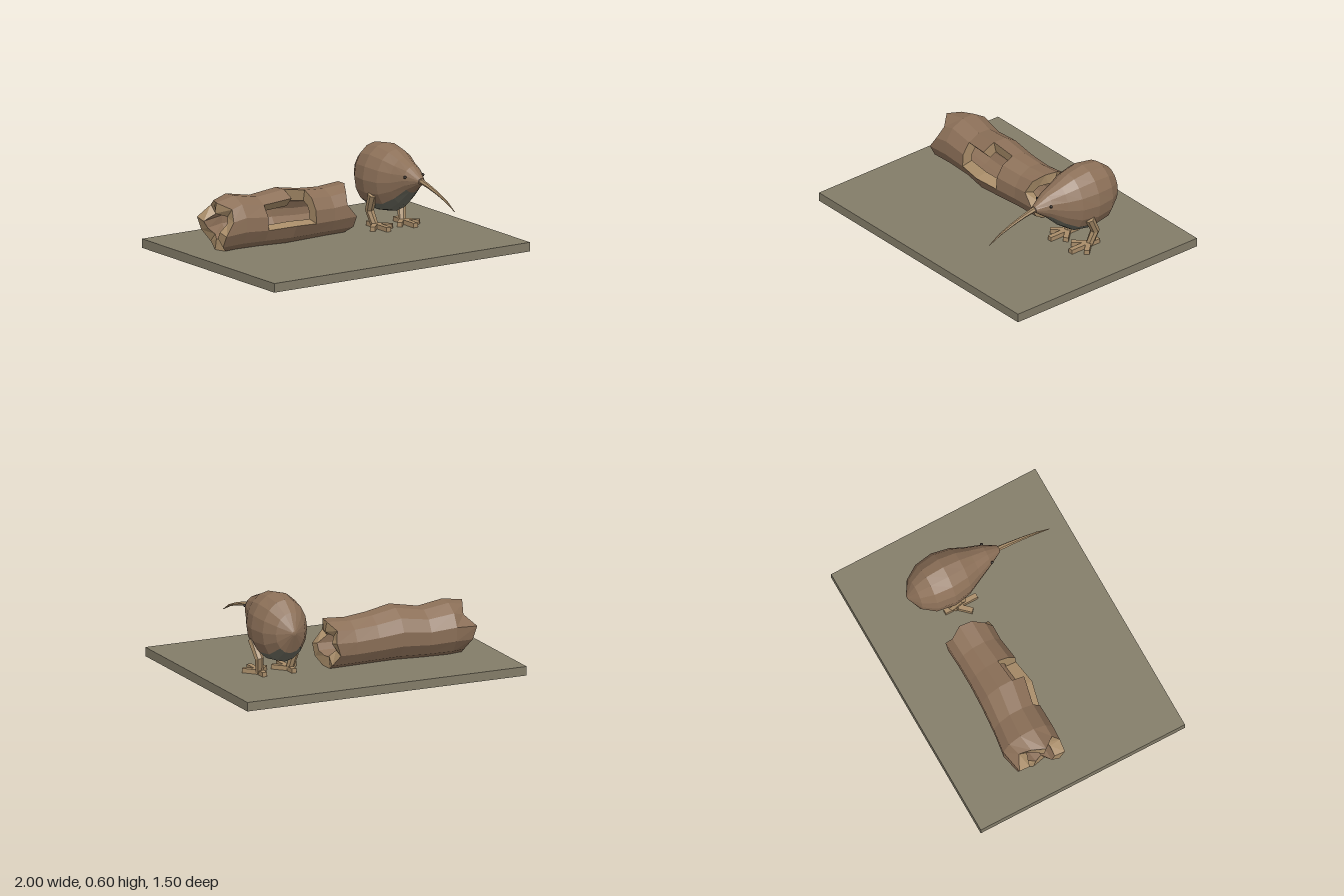
import * as THREE from 'three';

const mat = (name, color) => {
  const m = new THREE.MeshStandardMaterial({ color });
  m.name = name;
  return m;
};

// Flat-shaded mesh from a list of four-cornered faces
function quadMesh(name, quads, material) {
  const pos = [];
  for (const [a, b, c, d] of quads) for (const p of [a, b, c, a, c, d]) pos.push(...p);
  const g = new THREE.BufferGeometry();
  g.setAttribute('position', new THREE.Float32BufferAttribute(pos, 3));
  g.computeVertexNormals();
  const mesh = new THREE.Mesh(g, material);
  mesh.name = name;
  return mesh;
}

// Faceted tube whose radius changes from point to point, closed at both ends
function limb(name, points, radii, sides, material) {
  const pts = points.map(p => new THREE.Vector3(...p));
  const rings = pts.map((p, i) => {
    const t = pts[Math.min(i + 1, pts.length - 1)].clone().sub(pts[Math.max(i - 1, 0)]).normalize();
    const u = new THREE.Vector3(1, 0, 0).addScaledVector(t, -t.x).normalize();
    const v = t.clone().cross(u);
    return Array.from({ length: sides }, (_, j) => {
      const a = (j / sides) * Math.PI * 2;
      return p.clone().addScaledVector(u, Math.cos(a) * radii[i]).addScaledVector(v, Math.sin(a) * radii[i]).toArray();
    });
  });
  const quads = [];
  const last = pts.length - 1;
  for (let j = 0; j < sides; j++) {
    const k = (j + 1) % sides;
    for (let i = 0; i < last; i++) quads.push([rings[i][j], rings[i][k], rings[i + 1][k], rings[i + 1][j]]);
    quads.push([points[0], rings[0][k], rings[0][j], points[0]]);
    quads.push([points[last], rings[last][j], rings[last][k], points[last]]);
  }
  return quadMesh(name, quads, material);
}

// Hollow log with ragged ends and a stepped hole in its front
function makeLog(bark, wood) {
  const log = new THREE.Group();
  log.name = 'hollowLog';
  const N = 12;
  // x, centre z, radius z, radius y
  const stations = [
    [-0.8, -0.205, 0.168, 0.165], [-0.67, -0.22, 0.185, 0.178], [-0.5, -0.208, 0.172, 0.163],
    [-0.31, -0.18, 0.187, 0.178], [-0.14, -0.188, 0.17, 0.163], [0.02, -0.198, 0.16, 0.156], [0.16, -0.202, 0.164, 0.162]];
  const last = stations.length - 1;
  const leftEnd = [-0.83, -0.77, -0.75, -0.82, -0.78, -0.75, -0.83, -0.8, -0.76, -0.78, -0.76, -0.83];
  const rightEnd = [0.19, 0.12, 0.14, 0.18, 0.19, 0.15, 0.17, 0.14, 0.18, 0.16, 0.17, 0.19];
  const point = (i, j, s) => {
    const [x, cz, rz, ry] = stations[i];
    const n = (j + N) % N;
    const a = THREE.MathUtils.degToRad(-12 + n * 30);
    const px = i === 0 ? leftEnd[n] : i === last ? rightEnd[n] : x;
    return [px, 0.058 + ry + Math.sin(a) * ry * s, cz + Math.cos(a) * rz * s];
  };
  const out = (i, j) => point(i, j, 1.02);
  const inn = (i, j) => point(i, j, 0.56);
  const removed = (i, j) => (i === 2 && (j === 0 || j === 1)) || (i === 3 && j >= 0 && j <= 2);
  const outer = [], inner = [], cut = [];
  for (let j = 0; j < N; j++) {
    for (let i = 0; i < last; i++) {
      if (!removed(i, j)) {
        outer.push([out(i, j), out(i + 1, j), out(i + 1, j + 1), out(i, j + 1)]);
        inner.push([inn(i, j + 1), inn(i + 1, j + 1), inn(i + 1, j), inn(i, j)]);
        continue;
      }
      // Walls around the hole
      if (!removed(i, j - 1)) cut.push([inn(i, j), out(i, j), out(i + 1, j), inn(i + 1, j)]);
      if (!removed(i, j + 1)) cut.push([inn(i + 1, j + 1), out(i + 1, j + 1), out(i, j + 1), inn(i, j + 1)]);
      if (!removed(i - 1, j)) cut.push([out(i, j), inn(i, j), inn(i, j + 1), out(i, j + 1)]);
      if (!removed(i + 1, j)) cut.push([out(i + 1, j + 1), inn(i + 1, j + 1), inn(i + 1, j), out(i + 1, j)]);
    }
    // Ragged end faces
    cut.push([out(0, j), out(0, j + 1), inn(0, j + 1), inn(0, j)]);
    cut.push([inn(last, j), inn(last, j + 1), out(last, j + 1), out(last, j)]);
  }
  log.add(quadMesh('logBark', outer, bark), quadMesh('logInside', inner, bark), quadMesh('logCutWood', cut, wood));
  return log;
}

// Egg-shaped body that narrows into the head
function makeBody(feather, belly) {
  const body = new THREE.Group();
  body.name = 'body';
  const N = 16;
  // z, bottom y, top y, half width
  const stations = [
    [-0.455, 0.375, 0.405, 0.015], [-0.4, 0.245, 0.515, 0.105], [-0.315, 0.168, 0.583, 0.16], [-0.19, 0.152, 0.603, 0.18],
    [-0.07, 0.172, 0.582, 0.157], [0.02, 0.235, 0.543, 0.115], [0.12, 0.33, 0.505, 0.075], [0.215, 0.403, 0.442, 0.025]];
  const point = (i, j) => {
    const [z, lo, hi, w] = stations[i];
    const a = (j / N) * Math.PI * 2;
    return [Math.cos(a) * w, (lo + hi) / 2 + Math.sin(a) * (hi - lo) / 2, z];
  };
  const top = [], under = [];
  const last = stations.length - 1;
  for (let j = 0; j < N; j++) {
    for (let i = 0; i < last; i++) {
      const isBelly = j >= 10 && j <= 13 && i >= 1 && i <= 5;
      (isBelly ? under : top).push([point(i, j), point(i, j + 1), point(i + 1, j + 1), point(i + 1, j)]);
    }
    const tail = [0, 0.39, -0.457], face = [0, 0.423, 0.222];
    top.push([tail, point(0, j + 1), point(0, j), tail], [face, point(last, j), point(last, j + 1), face]);
  }
  body.add(quadMesh('feathers', top, feather), quadMesh('belly', under, belly));
  return body;
}

export function createModel() {
  const ground = mat('mossy ground', 0x837c68);
  const brown = mat('brown', 0x8c7058);
  const tan = mat('tan', 0xa98d69);
  const grey = mat('grey belly', 0x69695d);
  const dark = mat('dark eye', 0x2a211b);
  const model = new THREE.Group();
  model.name = 'birdAndLog';

  const base = new THREE.Mesh(new THREE.BoxGeometry(2, 0.06, 1.5), ground);
  base.name = 'base';
  base.position.y = 0.03;
  model.add(base, makeLog(brown, tan));

  const bird = new THREE.Group();
  bird.name = 'bird';
  bird.position.x = 0.52;
  bird.add(makeBody(brown, grey));
  // Long curved beak
  bird.add(limb('beak',
    [[0, 0.425, 0.2], [0, 0.405, 0.3], [0, 0.378, 0.4], [0, 0.343, 0.5], [0, 0.296, 0.59]],
    [0.018, 0.014, 0.011, 0.008, 0.002], 6, tan));

  for (const side of [-1, 1]) {
    const eye = new THREE.Mesh(new THREE.IcosahedronGeometry(0.01, 1), dark);
    eye.name = side > 0 ? 'leftEye' : 'rightEye';
    eye.position.set(side * 0.07, 0.442, 0.13);
    bird.add(eye);

    const leg = new THREE.Group();
    leg.name = side > 0 ? 'leftLeg' : 'rightLeg';
    leg.add(limb('shank',
      [[side * 0.143, 0.29, -0.13], [side * 0.125, 0.175, -0.192], [side * 0.108, 0.075, -0.16]],
      [0.032, 0.03, 0.026], 7, tan));
    // Three toes in front and one behind
    const toes = [[0, 0.155], [0.75, 0.115], [-0.75, 0.115], [Math.PI, 0.08]];
    toes.forEach(([angle, length], n) => {
      const g = new THREE.BoxGeometry(0.034, 0.03, length);
      g.translate(0, 0, length / 2);
      const toe = new THREE.Mesh(g, tan);
      toe.name = 'toe' + (n + 1);
      toe.position.set(side * 0.105, 0.075, -0.157);
      toe.rotation.y = angle;
      leg.add(toe);
    });
    bird.add(leg);
  }
  model.add(bird);
  return model;
}
